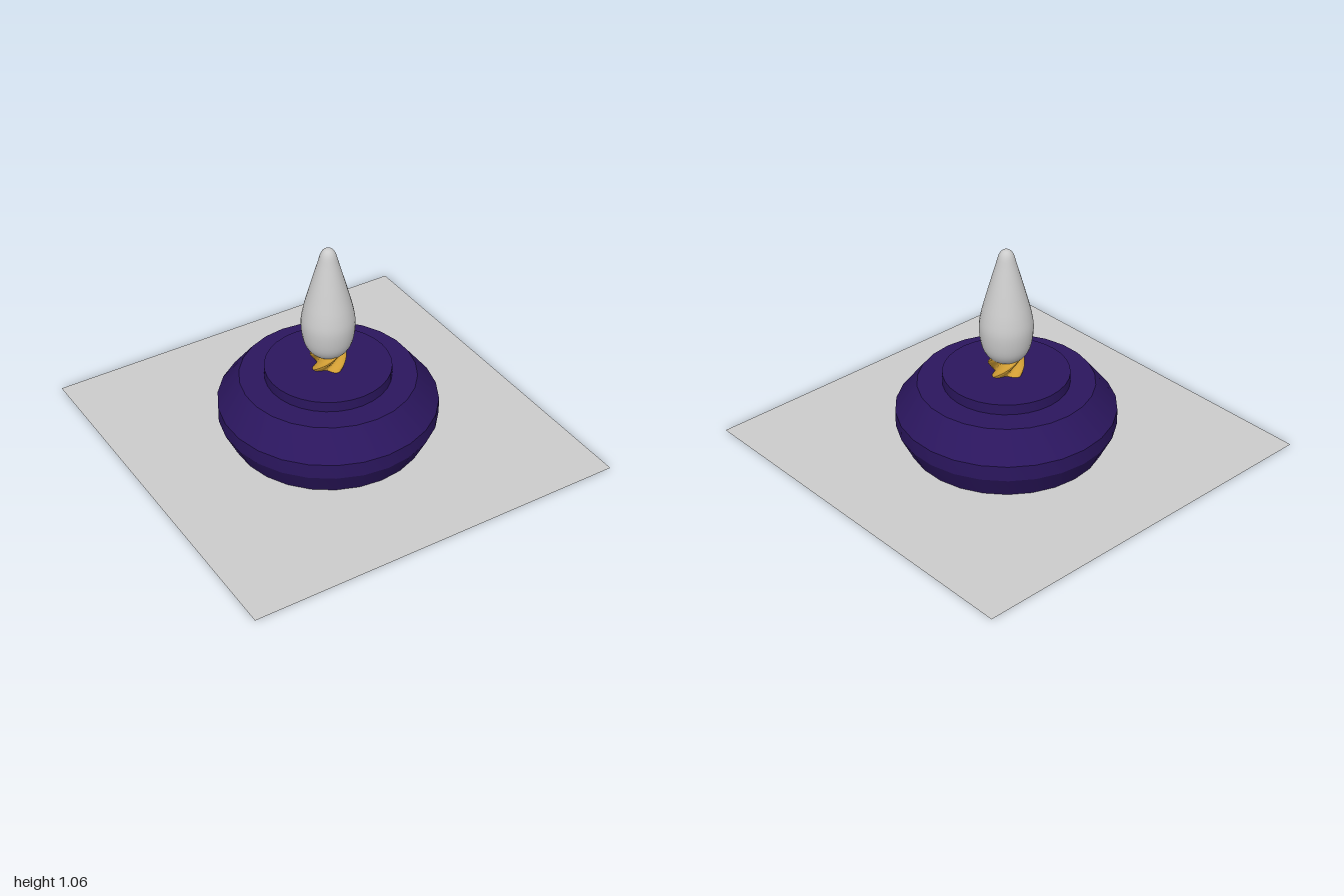
import * as THREE from 'three';
import { toCreasedNormals } from 'three/addons/utils/BufferGeometryUtils.js';

const pts = (list) => list.map(([r, y]) => new THREE.Vector2(r, y));

function addPart(group, name, geometry, color, side = THREE.FrontSide) {
  const mesh = new THREE.Mesh(geometry, new THREE.MeshStandardMaterial({ color, side }));
  mesh.name = name;
  group.add(mesh);
  return mesh;
}

// Four-lobed stem that turns a quarter circle as it rises
function twistedStem(y0, y1, turn) {
  const rows = 16;
  const geometry = new THREE.CylinderGeometry(1, 1, y1 - y0, 48, rows);
  geometry.translate(0, (y0 + y1) / 2, 0);
  const p = geometry.attributes.position;
  for (let i = 0; i < p.count; i++) {
    const x = p.getX(i), y = p.getY(i), z = p.getZ(i);
    const a = Math.atan2(x, z);
    const r = Math.hypot(x, z) * (0.073 + 0.017 * Math.cos(4 * a));
    const b = a + turn * (y - y1) / (y1 - y0);
    p.setXYZ(i, r * Math.sin(b), y, r * Math.cos(b));
  }
  return toCreasedNormals(geometry, 0.6);
}

export function createModel() {
  const model = new THREE.Group();
  model.name = 'candleLamp';

  // Flat ground sheet
  addPart(model, 'groundSheet', new THREE.PlaneGeometry(2, 2).rotateX(-Math.PI / 2), 0xcccccc, THREE.DoubleSide);

  // Faceted round base with a raised disc on top
  const base = new THREE.LatheGeometry(pts([
    [0.49, 0], [0.55, 0.12], [0.55, 0.2], [0.44, 0.34], [0, 0.34],
  ]), 26);
  addPart(model, 'base', toCreasedNormals(base, 0.4), 0x2b165e);
  const disc = new THREE.LatheGeometry(pts([[0.315, 0.34], [0.315, 0.395], [0, 0.395]]), 32);
  addPart(model, 'raisedDisc', toCreasedNormals(disc, 0.4), 0x2b165e);

  // Golden twisted stem
  addPart(model, 'twistedStem', twistedStem(0.39, 0.49, Math.PI / 2), 0xd4a035);

  // Smooth teardrop flame
  const curve = new THREE.SplineCurve(pts([
    [0, 0.455], [0.05, 0.463], [0.09, 0.49], [0.12, 0.545], [0.133, 0.64], [0.123, 0.72],
    [0.1, 0.81], [0.075, 0.9], [0.052, 0.98], [0.036, 1.035], [0.018, 1.058], [0, 1.062],
  ]));
  const outline = curve.getPoints(44).map((v) => new THREE.Vector2(Math.max(0, v.x), v.y));
  addPart(model, 'flame', new THREE.LatheGeometry(outline, 32), 0xcccccc);

  return model;
}
